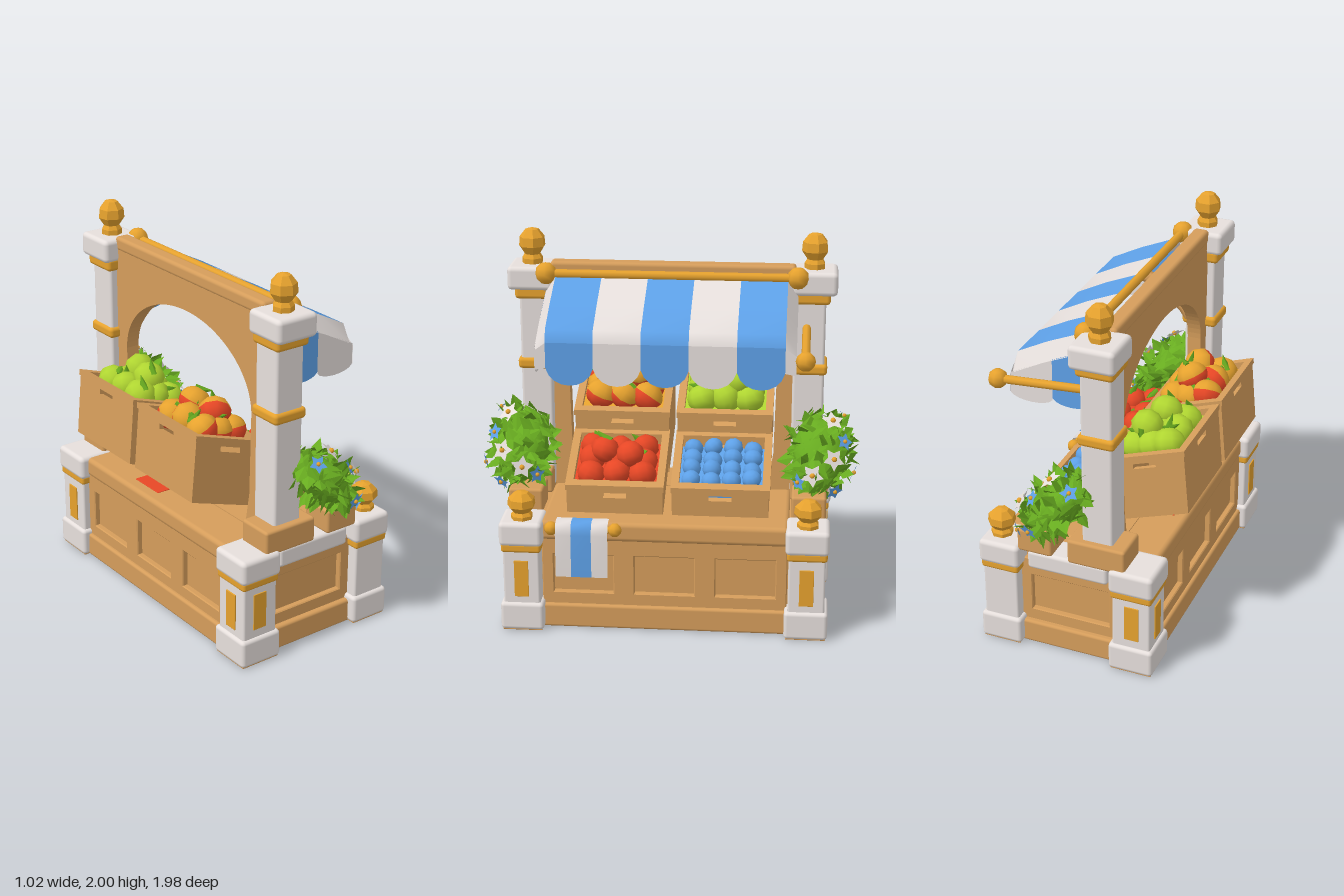
import * as THREE from 'three';
import { mergeGeometries } from 'three/addons/utils/BufferGeometryUtils.js';
import { RoundedBoxGeometry } from 'three/addons/geometries/RoundedBoxGeometry.js';

const mat = (name, color) => new THREE.MeshStandardMaterial({ name, color, side: THREE.DoubleSide });
const white = mat('whitewash', 0xe6dfdc), wood = mat('wood', 0xd59d5b), gold = mat('gold', 0xe6a22e);
const blue = mat('blue', 0x60a4ec), leaf = mat('leaf', 0x68ac20), red = mat('red', 0xea4826);
const lime = mat('lime', 0xb0d631), orange = mat('orange', 0xeaa52f);

let seed = 7;
const rnd = () => (seed = (seed * 16807) % 2147483647) / 2147483647;
const flat = (g) => { const f = g.index ? g.toNonIndexed() : g; f.computeVertexNormals(); return f; };

export function createModel() {
  const root = new THREE.Group();
  root.name = 'marketStall';
  const add = (name, geo, m, x = 0, y = 0, z = 0, parent = root) => {
    const mesh = new THREE.Mesh(geo, m);
    mesh.name = name;
    mesh.position.set(x, y, z);
    parent.add(mesh);
    return mesh;
  };
  // Rounded block given by its limits on each axis
  const block = (name, m, x0, x1, y0, y1, z0, z1, r = 0.015) =>
    add(name, new RoundedBoxGeometry(x1 - x0, y1 - y0, z1 - z0, 2, r), m, (x0 + x1) / 2, (y0 + y1) / 2, (z0 + z1) / 2);
  // Square block around a centre
  const square = (name, m, x, z, w, y0, y1, r) => block(name, m, x - w / 2, x + w / 2, y0, y1, z - w / 2, z + w / 2, r);
  const rod = (name, a, b, r) => add(name, new THREE.TubeGeometry(new THREE.LineCurve3(new THREE.Vector3(...a), new THREE.Vector3(...b)), 1, r, 8), gold);
  const ball = (name, x, y, z, r) => add(name, new THREE.SphereGeometry(r, 8, 6), gold, x, y, z);
  const rect = (x0, x1, y0, y1, C = THREE.Path) =>
    new C([[x0, y0], [x1, y0], [x1, y1], [x0, y1]].map((p) => new THREE.Vector2(...p)));
  const finialGeo = flat(new THREE.LatheGeometry([[0.055, 0], [0.055, 0.03], [0.042, 0.05], [0.07, 0.09], [0.066, 0.135], [0.035, 0.172], [0.001, 0.18]]
    .map((p) => new THREE.Vector2(...p)), 7));

  // Counter body with framed panels on every side
  block('counterBody', wood, -0.36, 0.4, 0.005, 0.58, -0.74, 0.74);
  block('plinthLong', wood, -0.41, 0.45, 0, 0.13, -0.66, 0.66);
  block('plinthWide', wood, -0.25, 0.32, 0, 0.13, -0.8, 0.8);
  block('counterTop', wood, -0.4, 0.45, 0.49, 0.595, -0.64, 0.64, 0.025);
  block('counterPatch', red, -0.33, -0.2, 0.592, 0.599, -0.25, -0.04, 0.003);
  const frame = (name, w, n) => {
    const s = rect(-w / 2, w / 2, 0.1, 0.5, THREE.Shape), step = w / n;
    for (let i = 0; i < n; i++) s.holes.push(rect(-w / 2 + i * step + 0.05, -w / 2 + (i + 1) * step - 0.05, 0.19, 0.41));
    return add(name, new THREE.ExtrudeGeometry(s, { depth: 0.03, bevelEnabled: true, bevelSize: 0.005, bevelThickness: 0.005, bevelSegments: 1 }), wood);
  };
  let f = frame('servingPanels', 1.26, 3); f.rotation.y = Math.PI / 2; f.position.x = 0.395;
  f = frame('rearPanels', 1.26, 3); f.rotation.y = -Math.PI / 2; f.position.x = -0.355;
  frame('endPanel', 0.54, 1).position.set(0.035, 0, 0.735);
  f = frame('endPanel', 0.54, 1); f.rotation.y = Math.PI; f.position.set(0.035, 0, -0.735);

  for (const s of [1, -1]) {
    const z = s * 0.735;
    // Corner posts
    for (const [x, w] of [[-0.325, 0.24], [0.4, 0.225]]) {
      square('postSole', wood, x, z, w - 0.02, 0, 0.009, 0.003);
      square('postFoot', white, x, z, w, 0.004, 0.155, 0.02);
      square('postShaft', white, x, z, w - 0.035, 0.13, 0.5, 0.012);
      square('postBand', gold, x, z, w - 0.018, 0.435, 0.485, 0.015);
      square('postCap', white, x, z, w, 0.47, 0.602, 0.025);
    }
    add('postFinial', finialGeo, gold, 0.425, 0.595, z).scale.set(1.05, 0.86, 1.05);
    // Gold inlays on the posts
    block('postInlay', gold, 0.492, 0.501, 0.19, 0.39, z - 0.037, z + 0.037, 0.002);
    block('postInlay', gold, -0.434, -0.425, 0.19, 0.39, z - 0.037, z + 0.037, 0.002);
    block('postInlay', gold, -0.368, -0.29, 0.2, 0.4, z + s * 0.103 - 0.0045, z + s * 0.103 + 0.0045, 0.002);
    block('endSlab', white, -0.19, 0.25, 0.48, 0.585, s * 0.74 - 0.08, s * 0.74 + 0.08, 0.02);

    // Tall column
    block('columnBase', wood, -0.29, 0.02, 0.58, 0.715, z - 0.1, z + 0.1);
    block('planter', wood, 0.11, 0.3, 0.58, 0.71, z - 0.09, z + 0.09);
    square('column', white, -0.13, s * 0.715, 0.165, 0.6, 1.72, 0.015);
    square('columnBand', gold, -0.13, s * 0.715, 0.195, 1.26, 1.32, 0.02);
    square('columnCollar', gold, -0.13, s * 0.72, 0.2, 1.64, 1.71, 0.02);
    square('columnCap', white, -0.13, s * 0.735, 0.24, 1.69, 1.815, 0.025);
    add('columnFinial', finialGeo, gold, -0.13, 1.81, s * 0.735).scale.set(1, 1.06, 1);

    // Curved brace under the awning
    const brace = new THREE.QuadraticBezierCurve3(new THREE.Vector3(-0.1, 1.33, s * 0.58),
      new THREE.Vector3(0.0, 1.5, s * 0.58), new THREE.Vector3(0.3, 1.57, s * 0.58));
    add('awningBrace', new THREE.TubeGeometry(brace, 8, 0.035, 6), wood);
    ball('awningRodEnd', -0.02, 1.785, s * 0.65, 0.058);
  }

  // Arch between the columns
  const arch = rect(-0.66, 0.66, 0.58, 1.78, THREE.Shape);
  const hole = new THREE.Path();
  hole.moveTo(-0.51, 0.6);
  hole.lineTo(0.51, 0.6);
  hole.lineTo(0.54, 0.78);
  hole.lineTo(0.55, 1.22);
  hole.absellipse(0, 1.22, 0.55, 0.38, 0, Math.PI, false);
  hole.lineTo(-0.54, 0.78);
  hole.lineTo(-0.51, 0.6);
  arch.holes.push(hole);
  const archMesh = add('arch', new THREE.ExtrudeGeometry(arch, { depth: 0.075, bevelEnabled: false, curveSegments: 20 }), wood, -0.17);
  archMesh.rotation.y = Math.PI / 2;
  block('archBeam', wood, -0.175, -0.09, 1.755, 1.83, -0.64, 0.64, 0.02);
  rod('awningRod', [-0.02, 1.785, -0.65], [-0.02, 1.785, 0.65], 0.023);
  rod('sideArm', [-0.06, 1.515, -0.7], [0.43, 1.48, -0.7], 0.022);
  ball('sideArmEnd', 0.43, 1.48, -0.7, 0.05);

  // Awning: sloping strips, hanging scallops, folded ends
  const slope = [[-0.02, 1.775], [0.2, 1.68], [0.365, 1.595], [0.386, 1.53]];
  const sheet = (a, b) => {
    const pos = [], idx = [];
    a.forEach((p, i) => pos.push(...p, ...b[i]));
    for (let i = 0; i < a.length - 1; i++) idx.push(2 * i, 2 * i + 1, 2 * i + 2, 2 * i + 1, 2 * i + 3, 2 * i + 2);
    const g = new THREE.BufferGeometry();
    g.setAttribute('position', new THREE.Float32BufferAttribute(pos, 3));
    g.setIndex(idx);
    g.computeVertexNormals();
    return g;
  };
  const scallop = (w, topL, topR, side, tip) => {
    const s = new THREE.Shape();
    s.moveTo(0, topL);
    s.lineTo(0, side);
    s.bezierCurveTo(w * 0.12, tip, w * 0.88, tip, w, side);
    s.lineTo(w, topR);
    return new THREE.ShapeGeometry(s, 8);
  };
  for (let i = 0; i < 5; i++) {
    const z0 = -0.6 + i * 0.24, z1 = z0 + 0.24, m = i % 2 ? white : blue;
    add('awningStripe', sheet(slope.map(([x, y]) => [x, y, z1]), slope.map(([x, y]) => [x, y, z0])), m);
    add('awningScallop', scallop(0.24, 1.532, 1.532, 1.4, 1.28), m, 0.386, 0, z1).rotation.y = Math.PI / 2;
  }
  for (const s of [1, -1]) {
    const top = slope.map(([x, y]) => [x, y, s * 0.6]), low = slope.map(([x, y]) => [x, y - 0.09, s * 0.655]);
    add('awningHip', s > 0 ? sheet(low, top) : sheet(top, low), white);
    add('awningEndBlue', scallop(0.2, 1.7, 1.612, 1.4, 1.355), blue, -0.04, 0, s * 0.653);
    add('awningEndWhite', scallop(0.225, 1.612, 1.5, 1.39, 1.345), white, 0.16, 0, s * 0.653);
    add('awningCorner', sheet([[0.386, 1.53, s * 0.6], [0.386, 1.4, s * 0.6]], [[0.386, 1.49, s * 0.655], [0.386, 1.39, s * 0.655]]), white);
  }

  // Towel on its rail
  rod('towelRail', [0.465, 0.565, 0.25], [0.465, 0.565, 0.58], 0.018);
  for (const z of [0.25, 0.58]) ball('towelRailEnd', 0.465, 0.565, z, 0.036);
  const drape = [[0.4, 0.6], [0.45, 0.605], [0.485, 0.59], [0.498, 0.54], [0.498, 0.31]];
  [[0.285, 0.37, white], [0.37, 0.475, blue], [0.475, 0.555, white]].forEach(([z0, z1, m]) =>
    add('towelStripe', sheet(drape.map(([x, y]) => [x, y, z1]), drape.map(([x, y]) => [x, y, z0])), m));

  // Slanted crates with hand slots, filled with produce
  const wall = (w, h, t) => {
    const s = rect(-w / 2, w / 2, 0, h, THREE.Shape), y = h - 0.06;
    s.holes.push(rect(-0.06, 0.06, y - 0.014, y + 0.014));
    return new THREE.ExtrudeGeometry(s, { depth: t, bevelEnabled: false }).translate(0, 0, -t / 2);
  };
  const crate = (x, y, z, d, h, drop, kind, r, nx, nz, sink, pile) => {
    const slant = new THREE.Matrix4().set(1, 0.09, 0, x, -drop, 1, 0, y, 0, 0, 1, z, 0, 0, 0, 1);
    const w = 0.5, t = 0.025, parts = [new THREE.BoxGeometry(d, t, w).translate(0, t / 2, 0).toNonIndexed()];
    for (const s of [1, -1]) {
      parts.push(wall(w, h, t).rotateY(Math.PI / 2).translate(s * (d - t) / 2, 0, 0));
      parts.push(wall(d, h, t).translate(0, 0, s * (w - t) / 2));
      parts.push(new THREE.BoxGeometry(0.04, 0.03, w + 0.012).translate(s * (d / 2 - 0.014), h - 0.015, 0).toNonIndexed());
      parts.push(new THREE.BoxGeometry(d + 0.012, 0.03, 0.04).translate(0, h - 0.015, s * (w / 2 - 0.014)).toNonIndexed());
    }
    add('crate', flat(mergeGeometries(parts).applyMatrix4(slant)), wood);
    add('crateFill', new THREE.BoxGeometry(d - 0.06, 0.01, w - 0.06).translate(0, h - sink - 0.035, 0).applyMatrix4(slant), kind);
    const spots = [];
    for (let i = 0; i < nx; i++) for (let j = 0; j < nz; j++)
      spots.push([(i / (nx - 1) - 0.5) * (d - 0.08 - 2 * r), h - sink + rnd() * 0.025, (j / (nz - 1) - 0.5) * (w - 0.08 - 2 * r)]);
    for (let j = 0; j < pile; j++) spots.push([(rnd() - 0.5) * 0.1, h - sink + r * 1.1, (j - (pile - 1) / 2) * r * 1.8]);
    for (const p of spots) {
      const fruit = new THREE.Group();
      fruit.name = 'fruit';
      fruit.position.set(...p).applyMatrix4(slant);
      fruit.rotation.set((rnd() - 0.5) * 1.9, rnd() * 6, (rnd() - 0.5) * 1.9);
      fruit.scale.y = 0.9;
      root.add(fruit);
      if (kind === orange) {
        add('fruitRipeTop', new THREE.SphereGeometry(r, 9, 5, 0, Math.PI * 2, 0, 1.5), orange, 0, 0, 0, fruit);
        add('fruitBlush', new THREE.SphereGeometry(r, 9, 4, 0, Math.PI * 2, 1.5, Math.PI - 1.5), red, 0, 0, 0, fruit);
      } else add('fruitBody', new THREE.SphereGeometry(r, 9, 7), kind, 0, 0, 0, fruit);
      if (kind !== blue && rnd() < 0.7) add('fruitLeaf', new THREE.ConeGeometry(0.03, 0.09, 4), leaf, 0.02, r, 0, fruit).rotation.z = -1.1;
    }
  };
  crate(-0.3, 0.75, 0.267, 0.42, 0.355, 0.34, orange, 0.085, 3, 3, 0.01, 2);
  crate(-0.3, 0.75, -0.28, 0.42, 0.355, 0.34, lime, 0.085, 3, 3, 0.01, 2);
  crate(0.11, 0.67, 0.267, 0.4, 0.17, 0.42, red, 0.075, 3, 3, 0.03, 2);
  crate(0.11, 0.67, -0.28, 0.4, 0.17, 0.42, blue, 0.052, 4, 4, 0.04, 0);

  // Flower bushes: pointed leaves laid over a slanted mound
  const leafGeo = new THREE.BufferGeometry();
  leafGeo.setAttribute('position', new THREE.Float32BufferAttribute([0, 0, -0.02, -0.034, -0.008, 0.03, 0, 0, 0.085, 0.034, -0.008, 0.03], 3));
  leafGeo.setIndex([0, 1, 2, 0, 2, 3]);
  const star = new THREE.Shape(Array.from({ length: 10 }, (_, i) => {
    const a = i * Math.PI / 5, r = i % 2 ? 0.034 : 0.062;
    return new THREE.Vector2(r * Math.sin(a), r * Math.cos(a));
  }));
  const starGeo = new THREE.ShapeGeometry(star);
  for (const s of [1, -1]) {
    const centre = new THREE.Vector3(0.085, 0.885, s * 0.78), radii = new THREE.Vector3(0.22, 0.115, 0.155);
    const tilt = new THREE.Euler(0, 0, -0.75), o = new THREE.Object3D(), leaves = [];
    // Sets o on the mound facing along (surface normal * lift + random * wild), raised off it by gap
    const place = (n, gap, lift, wild) => {
      const out = n.clone().divide(radii).normalize().applyEuler(tilt);
      o.position.copy(n).multiply(radii).applyEuler(tilt).addScaledVector(out, gap).add(centre);
      const dir = new THREE.Vector3(rnd() - 0.5, rnd() - 0.6, rnd() - 0.5).multiplyScalar(wild).addScaledVector(out, lift);
      o.up.copy(out);
      o.lookAt(o.position.clone().add(dir));
      o.updateMatrix();
    };
    const core = add('bushCore', new THREE.IcosahedronGeometry(0.88, 2), leaf, ...centre);
    core.scale.copy(radii);
    core.rotation.copy(tilt);
    for (let i = 0; i < 170; i++) {
      const y = 1 - 2 * (i + 0.5) / 170, a = i * 2.39996, q = Math.sqrt(1 - y * y);
      place(new THREE.Vector3(q * Math.cos(a), y, q * Math.sin(a)), -0.02 + rnd() * 0.025, 0.28, 1.6);
      leaves.push(leafGeo.clone().applyMatrix4(o.matrix));
    }
    add('bushLeaves', flat(mergeGeometries(leaves)), leaf);
    // Flowers by direction on the mound
    [[0.45, 0.8, 0.4, white], [0.75, 0.6, -0.15, white], [-0.45, 0.8, 0.35, white], [-0.75, 0.2, 0.6, blue],
      [0.45, 0.0, 0.9, blue], [0.9, 0.1, 0.4, blue], [0.8, 0.3, -0.5, blue], [0, 0.75, 0.7, blue]].forEach(([x, y, z, m]) => {
      place(new THREE.Vector3(x, y, z * s).normalize(), 0.045, 1, 0.3);
      const flower = new THREE.Group();
      flower.name = 'flower';
      flower.position.copy(o.position);
      flower.quaternion.copy(o.quaternion);
      flower.scale.setScalar(m === white ? 1 : 0.8);
      root.add(flower);
      add('petals', starGeo, m, 0, 0, 0, flower);
      add('flowerCentre', new THREE.IcosahedronGeometry(0.014, 1), gold, 0, 0, 0.004, flower);
    });
  }
  return root;
}
